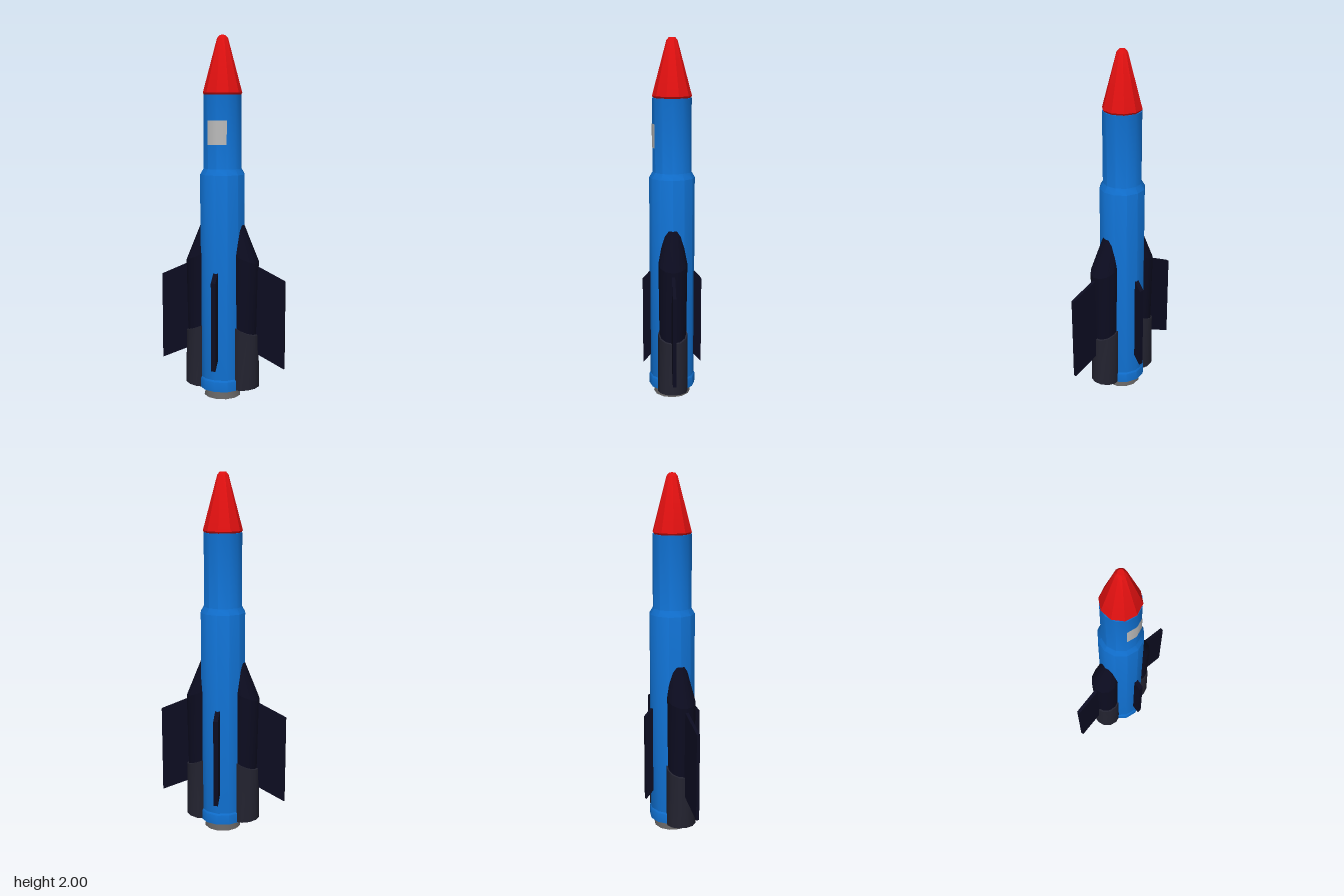
import * as THREE from 'three';
import { toCreasedNormals } from 'three/addons/utils/BufferGeometryUtils.js';

const paint = (name, color) => new THREE.MeshStandardMaterial({ name, color });

export function createModel() {
  const model = new THREE.Group();
  model.name = 'rocket';
  const blue = paint('hull blue', 0x1070d0);
  const red = paint('nose red', 0xe01010);
  const navy = paint('navy', 0x0c0c20);
  const charcoal = paint('charcoal', 0x232330);
  const grey = paint('nozzle grey', 0x666464);
  const silver = paint('silver', 0xbcbcbc);

  function add(parent, name, geometry, material) {
    const mesh = new THREE.Mesh(geometry, material);
    mesh.name = name;
    parent.add(mesh);
    return mesh;
  }

  // Turned part from a [radius, y] profile, listed bottom to top
  function turned(name, profile, material, sides = 12) {
    const points = profile.map(([r, y]) => new THREE.Vector2(r, y));
    const geometry = toCreasedNormals(new THREE.LatheGeometry(points, sides), 0.6);
    return add(model, name, geometry, material);
  }

  // Hull, stepped in towards the nose
  turned('hull', [[0, 0.1], [0.125, 0.1], [0.125, 1.255], [0.106, 1.287], [0.106, 1.685], [0, 1.685]], blue);
  turned('tailRing', [[0.09, 0.05], [0.13, 0.05], [0.13, 0.105], [0.125, 0.115]], blue);
  turned('noseCone', [[0, 1.684], [0.1, 1.684], [0.107, 1.695], [0.03, 1.983], [0.016, 2], [0, 2]], red, 10);

  // Hollow nozzle
  turned('nozzle', [[0, 0.075], [0.065, 0.075], [0.075, 0], [0.104, 0], [0.094, 0.055]], grey);

  // Hatch plate wrapped over the two front facets
  const hatch = new THREE.CylinderGeometry(0.109, 0.109, 0.13, 2, 1, true, -Math.PI / 6, Math.PI / 3);
  hatch.translate(0, 1.483, 0);
  add(model, 'hatch', hatch, silver);

  // Booster section between two slanted rings: { y, x, r, slope }
  function section(low, high) {
    const geometry = new THREE.CylinderGeometry(high.r, low.r, 1, 12);
    const p = geometry.attributes.position;
    for (let i = 0; i < p.count; i++) {
      const t = p.getY(i) + 0.5;
      const mix = key => THREE.MathUtils.lerp(low[key], high[key], t);
      const x = p.getX(i);
      p.setXYZ(i, x + mix('x'), mix('y') - mix('slope') * x, p.getZ(i));
    }
    return toCreasedNormals(geometry, 0.6);
  }
  const base = { y: 0.055, x: 0.132, r: 0.083, slope: -0.1 };
  const collar = { y: 0.395, x: 0.129, r: 0.082, slope: 0.4 };
  const waist = { y: 0.36, x: 0.127, r: 0.074, slope: 0.4 };
  const shoulder = { y: 0.80, x: 0.131, r: 0.079, slope: 0.4 };
  const tip = { y: 0.99, x: 0.078, r: 0.042, slope: 0 };

  // Fin blade in the x-y plane, rooted inside the body
  function fin(root, slopeTop, thickness, span) {
    const outline = new THREE.Shape([
      new THREE.Vector2(root, 0.18 + slopeTop * (span - root)),
      new THREE.Vector2(span, 0.18),
      new THREE.Vector2(span, 0.675),
      new THREE.Vector2(root, 0.675 + slopeTop * (span - root)),
    ]);
    const geometry = new THREE.ExtrudeGeometry(outline, { depth: thickness, bevelEnabled: false });
    return geometry.translate(0, 0, -thickness / 2);
  }

  for (const [side, turn] of [['left', 0], ['right', Math.PI]]) {
    const booster = new THREE.Group();
    booster.name = side + 'Booster';
    booster.rotation.y = turn;
    add(booster, 'boosterSkirt', section(base, collar), charcoal);
    add(booster, 'boosterTube', section(waist, shoulder), navy);
    add(booster, 'boosterNose', section(shoulder, tip), navy);
    add(booster, 'sideFin', fin(0.15, 0.47, 0.018, 0.36), navy);
    model.add(booster);
  }

  // Short fins on front and back of the hull
  for (const [name, turn] of [['frontFin', -Math.PI / 2], ['backFin', Math.PI / 2]]) {
    add(model, name, fin(0.1, 1.1, 0.026, 0.165), navy).rotation.y = turn;
  }

  return model;
}
